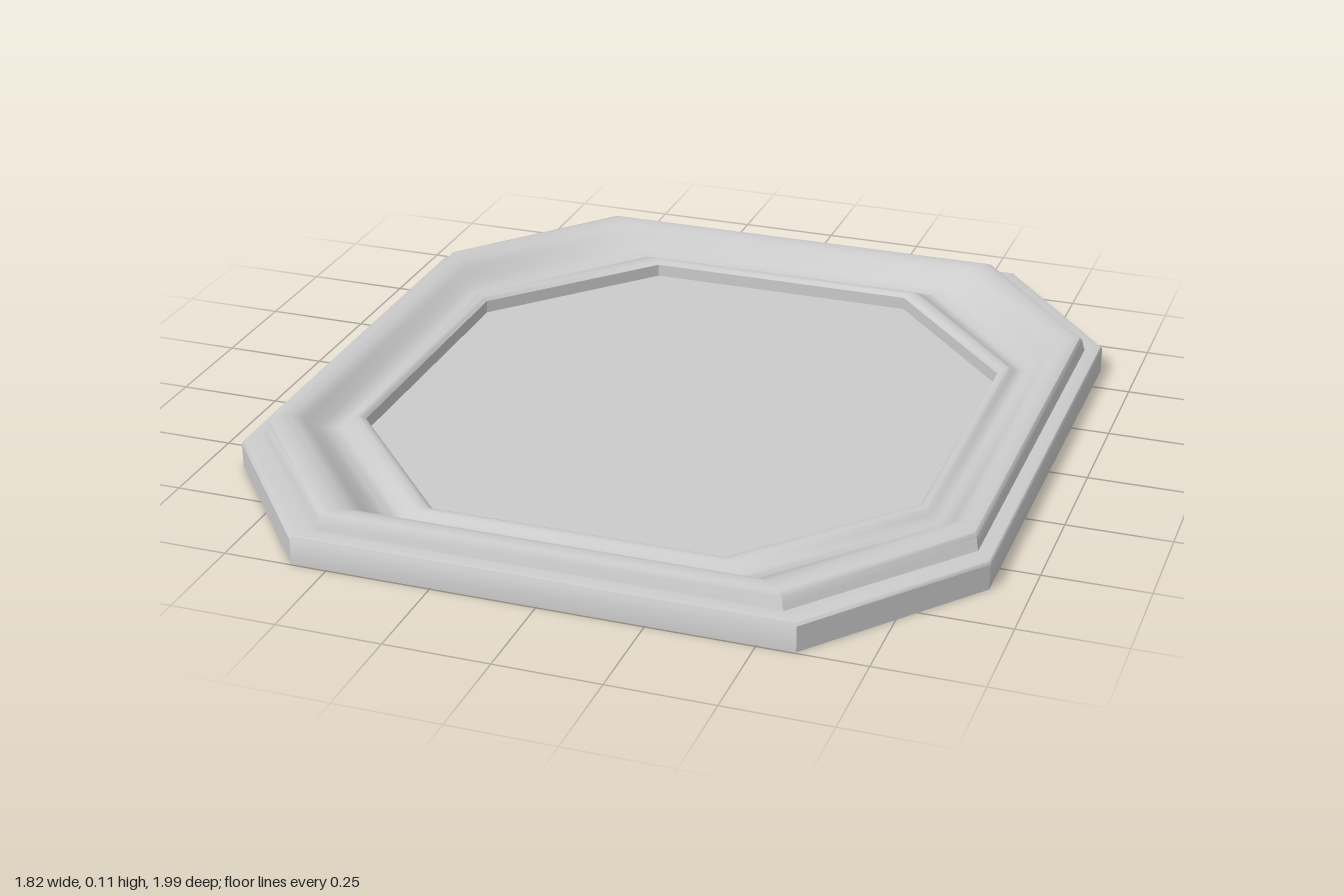
import * as THREE from 'three';
import { toCreasedNormals } from 'three/addons/utils/BufferGeometryUtils.js';

// Octagon corners [x, z]: t = 0 is the outer edge of the frame, t = 1 the opening.
function octagon(t) {
  const mix = (a, b) => a + (b - a) * t;
  const w = mix(0.908, 0.69), d = mix(0.995, 0.757);
  const cx = mix(0.588, 0.345), cz = mix(0.6, 0.375);
  return [[cx, d], [w, cz], [w, -cz], [cx, -d], [-cx, -d], [-w, -cz], [-w, cz], [-cx, d]];
}

// Sweeps a closed [t, y] profile around the octagon with mitred corners.
function sweepFrame(profile) {
  const positions = [], index = [], sides = 8, rows = profile.length;
  for (const [t, y] of profile) {
    for (const [x, z] of octagon(t)) positions.push(x, y, z);
  }
  for (let r = 0; r < rows; r++) {
    for (let s = 0; s < sides; s++) {
      const n = (s + 1) % sides, q = (r + 1) % rows;
      const a = r * sides + s, b = r * sides + n, c = q * sides + n, d = q * sides + s;
      index.push(a, b, c, a, c, d);
    }
  }
  const geometry = new THREE.BufferGeometry();
  geometry.setAttribute('position', new THREE.Float32BufferAttribute(positions, 3));
  geometry.setIndex(index);
  return toCreasedNormals(geometry, Math.PI / 5);
}

export function createModel() {
  const model = new THREE.Group();
  model.name = 'octagonalFrame';
  const material = new THREE.MeshStandardMaterial({ color: 0xcccccc });

  // Cove between the outer ridge and the inner lip
  const cove = new THREE.SplineCurve([
    [0.27, 0.11], [0.36, 0.109], [0.46, 0.099], [0.56, 0.077], [0.66, 0.058],
    [0.76, 0.051], [0.83, 0.057], [0.88, 0.066], [0.93, 0.069],
  ].map(([t, y]) => new THREE.Vector2(t, y))).getPoints(24).map((p) => [p.x, p.y]);

  // Moulding: outer wall, ledge, ridge, cove, lip and inner wall
  const moulding = new THREE.Mesh(sweepFrame([
    [0, 0], [0, 0.062], [0.015, 0.068], [0.04, 0.07], [0.17, 0.07],
    [0.185, 0.08], [0.2, 0.098], [0.225, 0.107],
    ...cove,
    [0.97, 0.066], [1, 0.058], [1, 0],
  ]), material);
  moulding.name = 'frameMoulding';
  model.add(moulding);

  // Flat panel set into the opening
  const outline = new THREE.Shape(octagon(1).map(([x, z]) => new THREE.Vector2(x, -z)));
  const panelGeometry = new THREE.ExtrudeGeometry(outline, { depth: 0.02, bevelEnabled: false });
  panelGeometry.rotateX(-Math.PI / 2).translate(0, 0.006, 0);
  const panel = new THREE.Mesh(panelGeometry, material);
  panel.name = 'backPanel';
  model.add(panel);

  return model;
}
